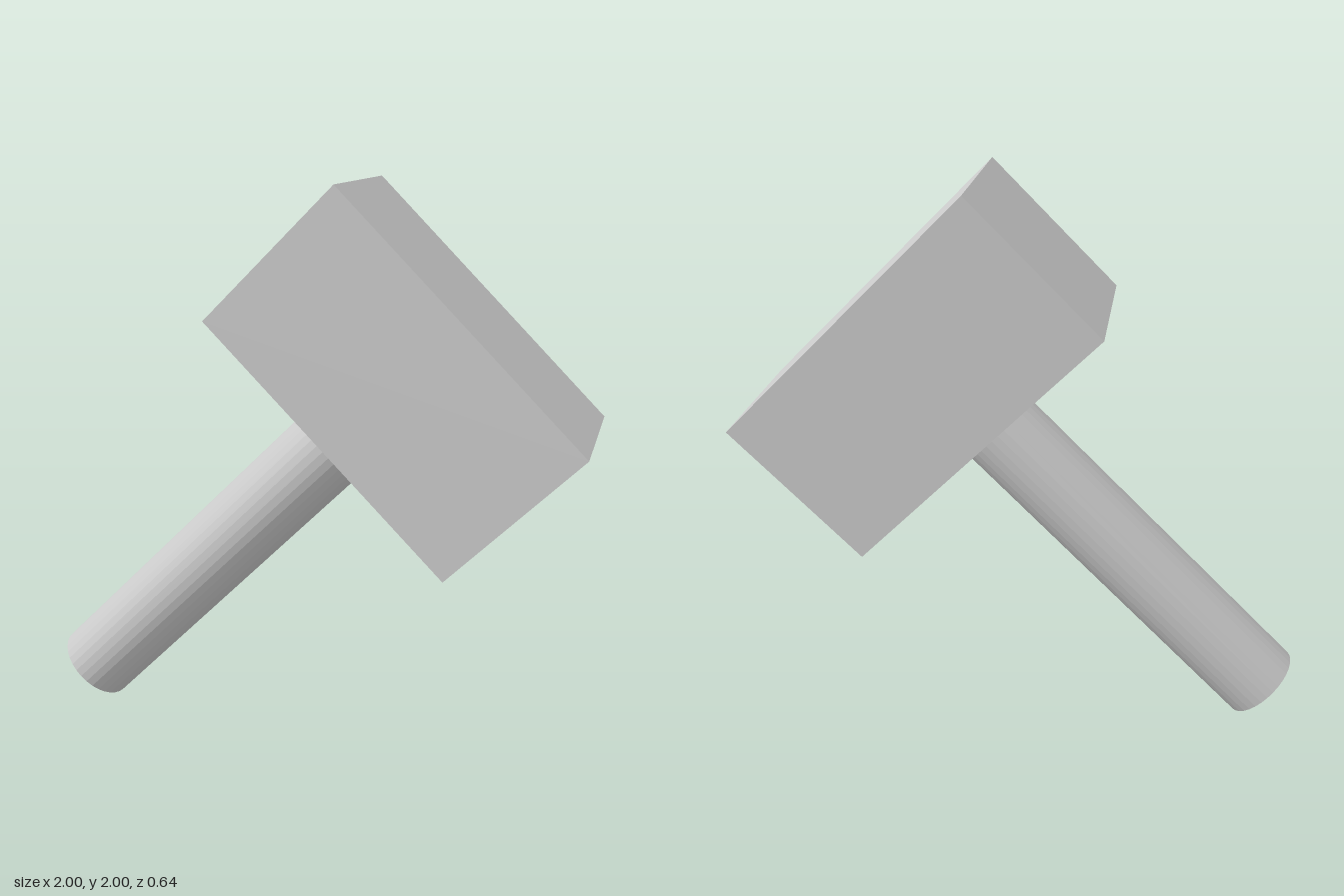
import * as THREE from 'three';

export function createModel() {
  const mallet = new THREE.Group();
  mallet.name = 'mallet';
  const material = new THREE.MeshStandardMaterial({ color: 0xcccccc, flatShading: true });

  // The tool is built upright from the butt of its handle, then tilted
  const tilted = new THREE.Group();
  tilted.name = 'tiltedMallet';
  tilted.position.set(-0.894, 0.106, 0);
  tilted.rotation.z = -Math.PI / 4;
  mallet.add(tilted);

  // Round handle, running slightly into the head
  const handleLength = 1.47;
  const handle = new THREE.Mesh(
    new THREE.CylinderGeometry(0.15, 0.15, handleLength, 32), material);
  handle.name = 'handle';
  handle.position.y = handleLength / 2;
  tilted.add(handle);

  // Block head
  const head = new THREE.Mesh(new THREE.BoxGeometry(1.18, 0.64, 0.64), material);
  head.name = 'head';
  head.position.y = 1.769;
  tilted.add(head);

  return mallet;
}
